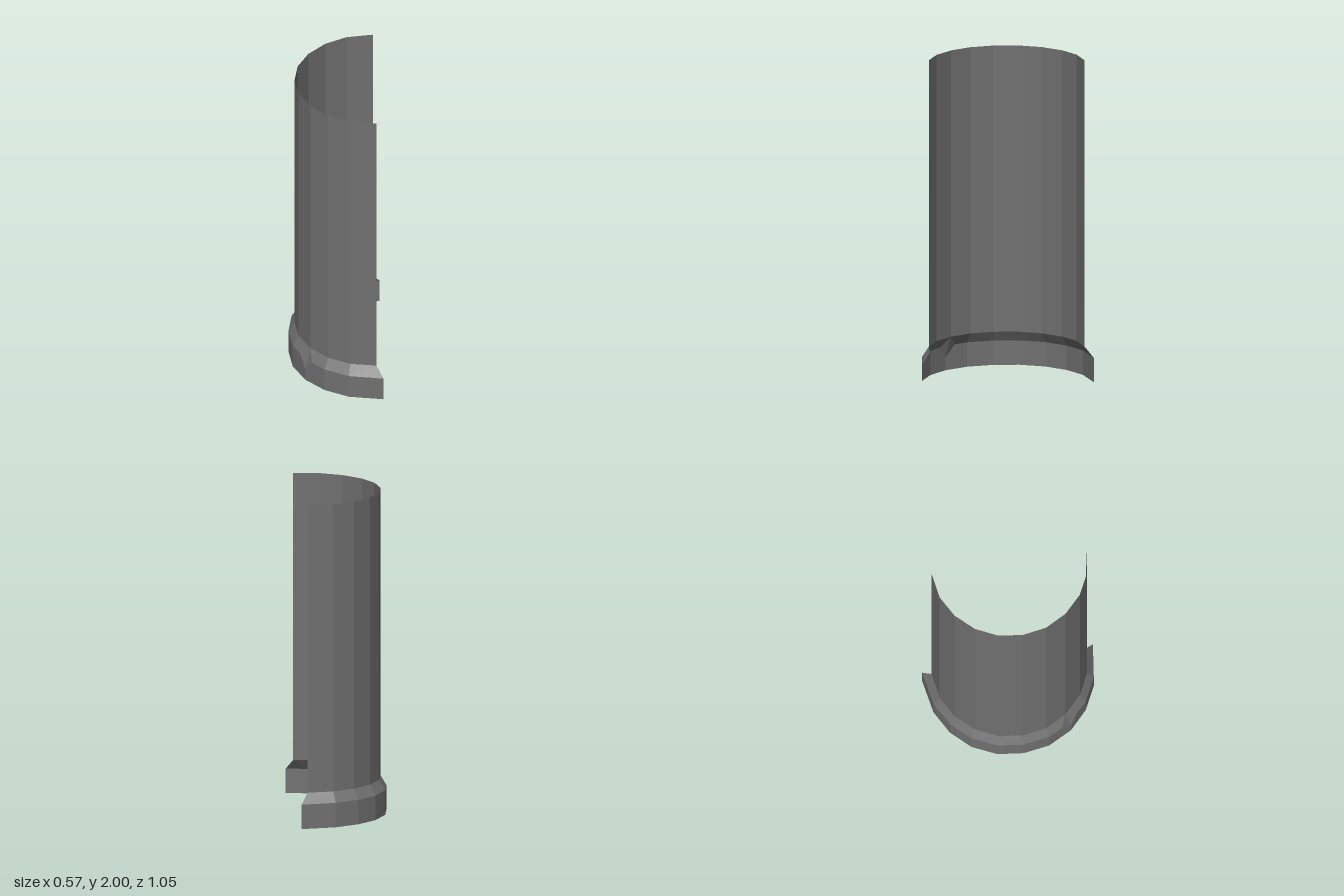
import * as THREE from 'three';

// Half of each plan outline as [x, z], from the middle of the curve to its open end
const FOOT = [[-0.283, 0], [-0.261, 0.16], [-0.187, 0.308], [-0.073, 0.42], [0.073, 0.495], [0.283, 0.527]];
const WALL = [[-0.246, 0], [-0.224, 0.148], [-0.156, 0.28], [-0.05, 0.387], [0.082, 0.455], [0.242, 0.477]];

// Mirror a half outline into a full arc running from -z to +z at height y
function ring(half, y) {
  const far = half.slice(1).reverse().map(([x, z]) => new THREE.Vector3(x, y, -z));
  return far.concat(half.map(([x, z]) => new THREE.Vector3(x, y, z)));
}

// Flat-faced band between two rings, skipping collapsed triangles
function band(name, lower, upper, material) {
  const points = [];
  const tri = (a, b, c) => {
    if (a.distanceTo(b) > 1e-5 && b.distanceTo(c) > 1e-5 && c.distanceTo(a) > 1e-5) points.push(a, b, c);
  };
  for (let i = 0; i < lower.length - 1; i++) {
    tri(lower[i], lower[i + 1], upper[i + 1]);
    tri(lower[i], upper[i + 1], upper[i]);
  }
  const geometry = new THREE.BufferGeometry().setFromPoints(points);
  geometry.computeVertexNormals();
  const mesh = new THREE.Mesh(geometry, material);
  mesh.name = name;
  return mesh;
}

export function createModel() {
  const grey = new THREE.MeshStandardMaterial({ color: 0x707070, side: THREE.DoubleSide, flatShading: true });
  grey.name = 'stone grey';

  const top = ring(WALL, 2);
  const neck = ring(WALL, 0.215);
  const shoulder = ring(FOOT, 0.152);
  const base = ring(FOOT, 0);

  // Chipped corner: extra columns either side of one shoulder corner, which drops down
  const chip = 7;
  const addColumns = (r, collapse) => {
    const before = collapse ? r[chip].clone() : r[chip].clone().lerp(r[chip - 1], 0.42);
    const after = collapse ? r[chip].clone() : r[chip].clone().lerp(r[chip + 1], 0.35);
    return [...r.slice(0, chip), before, r[chip].clone(), after, ...r.slice(chip + 1)];
  };
  const neckChipped = addColumns(neck, true);
  const shoulderChipped = addColumns(shoulder, false);
  const baseChipped = addColumns(base, false);
  shoulderChipped[chip + 1].y = 0.08;

  const model = new THREE.Group();
  model.name = 'halfColumnShell';
  model.add(
    band('wall', neck, top, grey),
    band('slopedShoulder', shoulderChipped, neckChipped, grey),
    band('footBand', baseChipped, shoulderChipped, grey)
  );
  return model;
}
